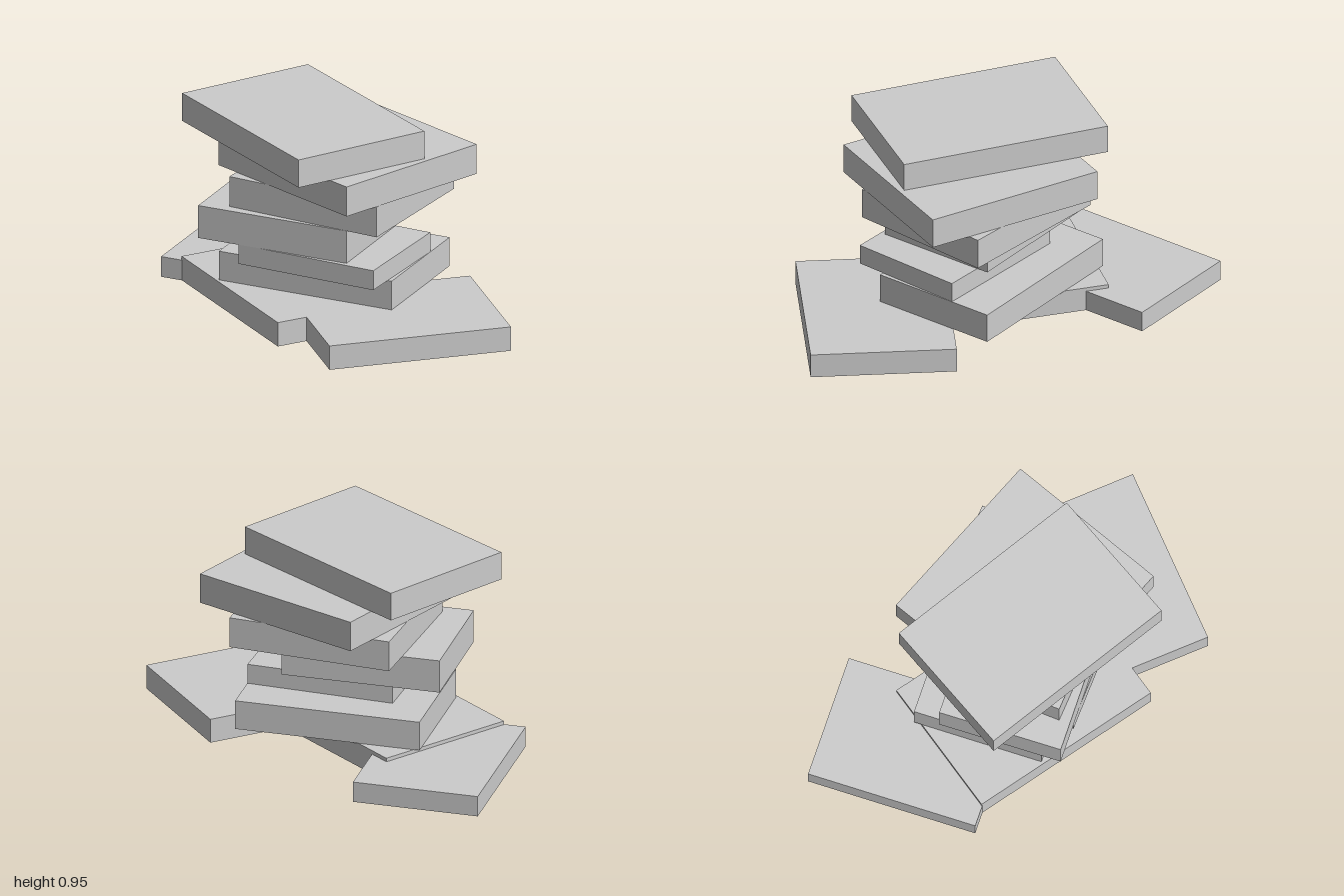
import * as THREE from 'three';

// name, bottom y, top y, centre x, centre z, width, depth, turn about y
const SLABS = [
  // three slabs lying on the ground
  ['groundSlabRight', 0, 0.10, -0.635, -0.26, 0.598, 0.812, 0.171],
  ['groundSlabMiddle', 0, 0.118, -0.18, 0.08, 0.953, 0.684, -0.468],
  ['groundSlabLeft', 0, 0.118, 0.4625, 0.1525, 0.676, 0.871, -0.671],
  // the twisted stack above them
  ['stackSlab1', 0.118, 0.26, -0.0625, -0.065, 0.883, 0.619, 0.171],
  ['stackSlab2', 0.26, 0.356, 0.0375, 0.075, 0.706, 0.554, 0.123],
  ['stackSlab3', 0.356, 0.516, -0.1575, 0.0775, 0.757, 0.589, 0.176],
  ['stackSlab4', 0.516, 0.664, 0.0025, -0.0325, 0.784, 0.713, 0.094],
  ['stackSlab5', 0.664, 0.81, 0.0375, -0.03, 0.881, 0.809, -0.218],
  ['topSlab', 0.81, 0.947, -0.13, 0.0875, 1.004, 0.686, -0.389],
];

export function createModel() {
  const group = new THREE.Group();
  group.name = 'slabPile';
  const material = new THREE.MeshStandardMaterial({ color: 0xcccccc, flatShading: true });

  for (const [name, y0, y1, x, z, width, depth, turn] of SLABS) {
    const slab = new THREE.Mesh(new THREE.BoxGeometry(width, y1 - y0, depth), material);
    slab.name = name;
    slab.position.set(x, (y0 + y1) / 2, z);
    slab.rotation.y = turn;
    group.add(slab);
  }
  return group;
}
